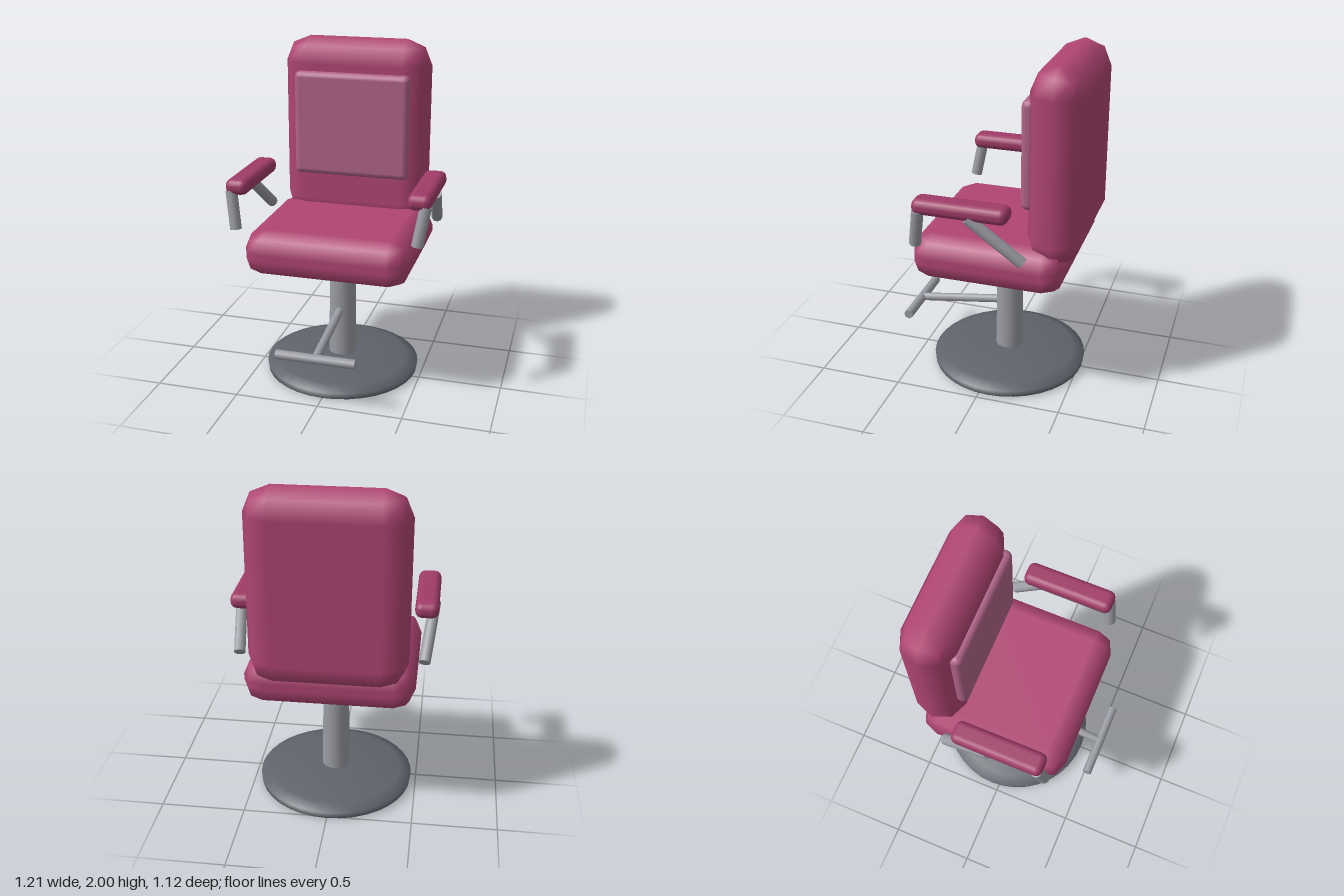
import * as THREE from 'three';
import { RoundedBoxGeometry } from 'three/addons/geometries/RoundedBoxGeometry.js';

const mat = (color, side = THREE.FrontSide) => new THREE.MeshStandardMaterial({ color, side });
const vinyl = mat(0xb04573);
const armVinyl = mat(0xa03c68);
const padVinyl = mat(0xb06488);
const metal = mat(0x9a9ca3);
const darkMetal = mat(0x5f636b, THREE.DoubleSide);

function mesh(name, geometry, material, x = 0, y = 0, z = 0) {
  const m = new THREE.Mesh(geometry, material);
  m.name = name;
  m.position.set(x, y, z);
  return m;
}

// Soft block given by its min and max corners
function cushion(name, min, max, radius, material, segments = 1) {
  const [w, h, d] = max.map((v, i) => v - min[i]);
  const [x, y, z] = max.map((v, i) => (v + min[i]) / 2);
  return mesh(name, new RoundedBoxGeometry(w, h, d, segments, radius), material, x, y, z);
}

// Straight round bar between two points
function rod(name, from, to, radius, sides = 10) {
  const a = new THREE.Vector3(...from);
  const b = new THREE.Vector3(...to);
  const dir = b.clone().sub(a);
  const m = mesh(name, new THREE.CylinderGeometry(radius, radius, dir.length(), sides), metal);
  m.position.copy(a).lerp(b, 0.5);
  m.quaternion.setFromUnitVectors(new THREE.Vector3(0, 1, 0), dir.normalize());
  return m;
}

export function createModel() {
  const chair = new THREE.Group();
  chair.name = 'salonChair';
  const axisZ = -0.055;

  // Domed floor disc with a slightly hollow underside
  const profile = [
    [0, 0.02], [0.3, 0.012], [0.455, 0], [0.465, 0.005], [0.47, 0.045],
    [0.4, 0.07], [0.24, 0.09], [0.09, 0.1], [0, 0.1],
  ].map(([r, y]) => new THREE.Vector2(r, y));
  chair.add(mesh('base', new THREE.LatheGeometry(profile, 36), darkMetal, 0, 0, axisZ));

  // Tapered column and the collar under the seat
  chair.add(mesh('column', new THREE.CylinderGeometry(0.077, 0.086, 0.71, 24), metal, 0, 0.365, axisZ));
  chair.add(mesh('seatCollar', new THREE.CylinderGeometry(0.18, 0.12, 0.045, 20), metal, 0, 0.6975, axisZ));

  // Upholstery
  chair.add(cushion('seat', [-0.49, 0.71, -0.49], [0.49, 0.985, 0.412], 0.12, vinyl));
  chair.add(cushion('backrest', [-0.45, 0.865, -0.56], [0.45, 2, -0.25], 0.15, vinyl));
  chair.add(cushion('backPad', [-0.352, 1.18, -0.29], [0.352, 1.81, -0.212], 0.035, padVinyl, 2));

  // Armrests, each on two leaning struts
  for (const [side, s] of [['left', 1], ['right', -1]]) {
    const arm = new THREE.Group();
    arm.name = `${side}Arm`;
    const pad = cushion('armPad', [0.462, 1.183, -0.212], [0.597, 1.275, 0.335], 0.04, armVinyl, 2);
    pad.position.x *= s;
    arm.add(
      pad,
      rod('frontStrut', [s * 0.565, 1.205, 0.3], [s * 0.53, 0.985, 0.337], 0.034),
      rod('rearStrut', [s * 0.57, 1.2, 0.015], [s * 0.53, 0.955, -0.285], 0.034),
    );
    chair.add(arm);
  }

  // Footrest
  chair.add(rod('footrestArm', [0, 0.4, -0.03], [0, 0.32, 0.528], 0.025));
  chair.add(rod('footrestBar', [-0.235, 0.32, 0.528], [0.235, 0.32, 0.528], 0.028));

  return chair;
}
